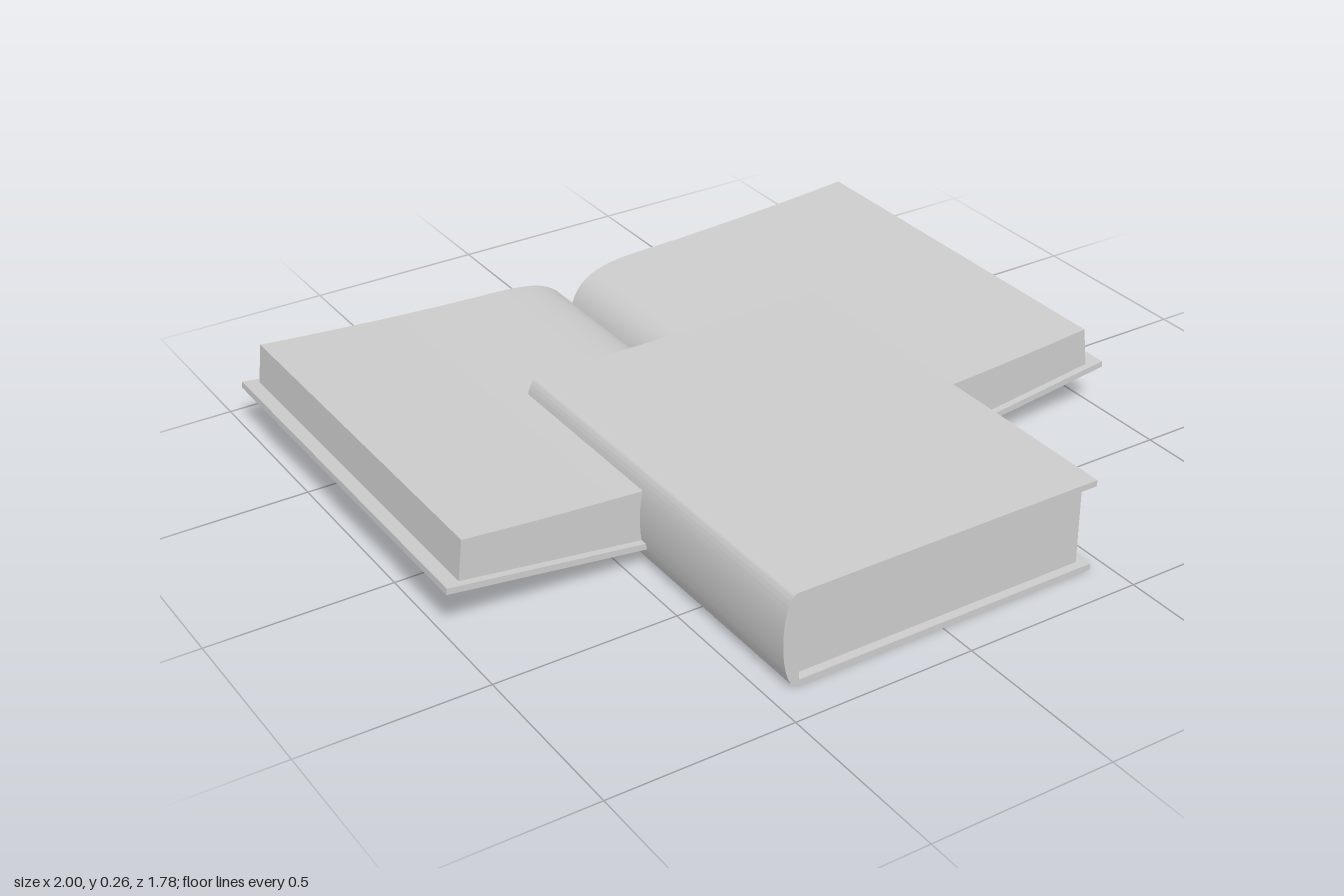
import * as THREE from 'three';
import { toCreasedNormals } from 'three/addons/utils/BufferGeometryUtils.js';

const material = new THREE.MeshStandardMaterial({ color: 0xcccccc });

// Extrude an xy outline from z0 to z1, smoothing only the gentle curves
function prism(name, shape, z0, z1) {
  const geometry = new THREE.ExtrudeGeometry(shape, { depth: z1 - z0, bevelEnabled: false, curveSegments: 20 });
  geometry.translate(0, 0, z0);
  const mesh = new THREE.Mesh(toCreasedNormals(geometry, 0.6), material);
  mesh.name = name;
  return mesh;
}

function box(name, x0, x1, y0, y1, z0, z1) {
  const mesh = new THREE.Mesh(new THREE.BoxGeometry(x1 - x0, y1 - y0, z1 - z0), material);
  mesh.position.set((x0 + x1) / 2, (y0 + y1) / 2, (z0 + z1) / 2);
  mesh.name = name;
  return mesh;
}

function createOpenBook() {
  const book = new THREE.Group();
  book.name = 'openBook';

  for (const s of [1, -1]) {
    const side = s > 0 ? 'left' : 'right';

    // Cover board, tilted up from the central fold
    const cover = new THREE.Shape();
    cover.moveTo(0, 0);
    cover.lineTo(s, 0.128);
    cover.lineTo(s * 0.998, 0.145);
    cover.lineTo(0, 0.017);
    book.add(prism(side + 'OpenCover', cover, -0.89, 0.29));

    // Page block, rounding over into the gutter
    const pages = new THREE.Shape();
    pages.moveTo(0, 0.017);
    pages.lineTo(s * 0.957, 0.1395);
    pages.lineTo(s * 0.943, 0.25);
    pages.bezierCurveTo(s * 0.7, 0.228, s * 0.45, 0.213, s * 0.25, 0.207);
    pages.bezierCurveTo(s * 0.1, 0.203, s * 0.025, 0.185, 0, 0.075);
    book.add(prism(side + 'OpenPages', pages, -0.87, 0.27));
  }
  return book;
}

function createClosedBook() {
  const book = new THREE.Group();
  book.name = 'closedBook';
  const height = 0.258, board = 0.017, back = -0.3, front = 0.89;

  book.add(box('bottomCover', -0.42, 0.455, 0, board, back, front));
  book.add(box('topCover', -0.42, 0.455, height - board, height, back, front));
  book.add(box('closedPages', -0.417, 0.43, board, height - board, back + 0.03, front - 0.025));

  // Rounded spine
  const spine = new THREE.Shape();
  spine.moveTo(-0.415, height);
  spine.lineTo(-0.42, height);
  spine.absellipse(-0.42, height / 2, 0.04, height / 2, Math.PI / 2, Math.PI * 1.5, false, 0);
  spine.lineTo(-0.415, 0);
  book.add(prism('spine', spine, back, front));
  return book;
}

export function createModel() {
  const model = new THREE.Group();
  model.name = 'books';
  model.add(createOpenBook(), createClosedBook());
  return model;
}
